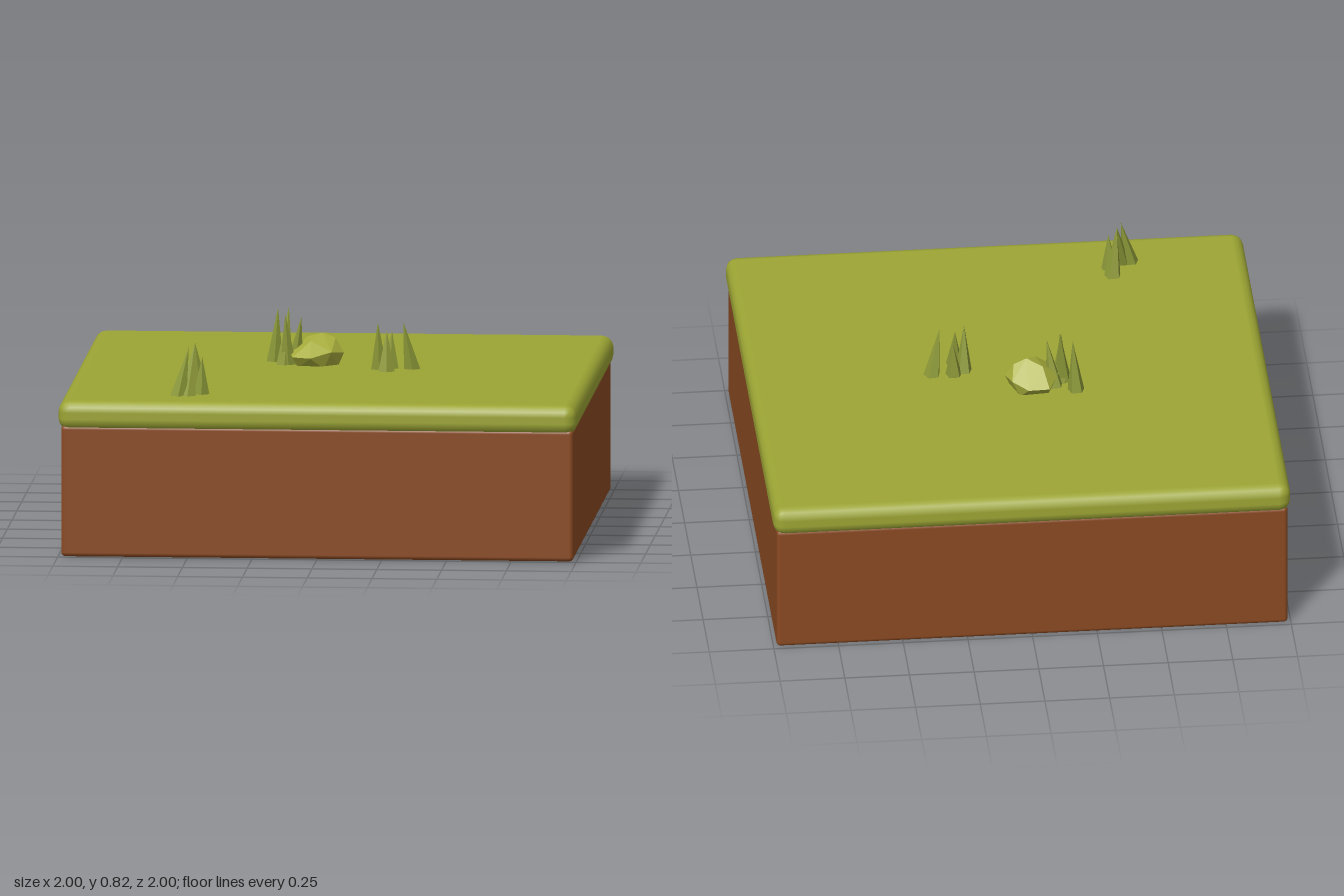
import * as THREE from 'three';
import { RoundedBoxGeometry } from 'three/addons/geometries/RoundedBoxGeometry.js';
import { ConvexGeometry } from 'three/addons/geometries/ConvexGeometry.js';

const GROUND = 0.605;

function mesh(name, geometry, material) {
  const m = new THREE.Mesh(geometry, material);
  m.name = name;
  return m;
}

// A five-sided spike from (x, z) on the ground, sheared so its tip lands at (tx, ty, tz)
function blade([x, z, tx, ty, tz], index, material) {
  const base = GROUND - 0.01, h = ty - base;
  const geo = new THREE.ConeGeometry(0.035, h, 5, 1, false, index * 1.3);
  geo.translate(0, h / 2, 0);
  const p = geo.attributes.position;
  for (let i = 0; i < p.count; i++) {
    const t = p.getY(i) / h;
    p.setX(i, p.getX(i) + (tx - x) * t);
    p.setZ(i, p.getZ(i) + (tz - z) * t);
  }
  geo.computeVertexNormals();
  const m = mesh('grassBlade', geo, material);
  m.position.set(x, base, z);
  return m;
}

export function createModel() {
  const group = new THREE.Group();
  group.name = 'grassTile';
  const soilMat = new THREE.MeshStandardMaterial({ color: 0x8b4a22 });
  const turfMat = new THREE.MeshStandardMaterial({ color: 0x9ca534 });
  const bladeMat = new THREE.MeshStandardMaterial({ color: 0x8c9838, flatShading: true });
  const rockMat = new THREE.MeshStandardMaterial({ color: 0xa8ae3c, flatShading: true });

  // Soil block
  const soil = mesh('soil', new RoundedBoxGeometry(1.976, 0.51, 1.976, 2, 0.016), soilMat);
  soil.position.y = 0.255;
  group.add(soil);

  // Turf slab with softened edges
  const turf = mesh('turf', new RoundedBoxGeometry(2, 0.115, 2, 2, 0.045), turfMat);
  turf.position.y = GROUND - 0.0575;
  group.add(turf);

  // Grass tufts: base x, base z, tip x, tip y, tip z
  const tufts = {
    frontGrassTuft: [
      [-0.55, 0.80, -0.51, 0.79, 0.78],
      [-0.515, 0.80, -0.49, 0.80, 0.73],
      [-0.47, 0.695, -0.49, 0.80, 0.725],
      [-0.465, 0.75, -0.46, 0.75, 0.76],
    ],
    rockGrassTuft: [
      [-0.248, -0.168, -0.235, 0.815, -0.155],
      [-0.205, -0.08, -0.19, 0.825, -0.11],
      [-0.19, -0.09, -0.20, 0.80, -0.06],
      [-0.17, -0.125, -0.14, 0.79, -0.09],
    ],
    sideGrassTuft: [
      [0.17, 0.02, 0.165, 0.79, 0.05],
      [0.21, -0.005, 0.215, 0.75, -0.015],
      [0.20, 0.08, 0.20, 0.76, 0.055],
      [0.295, 0.0, 0.262, 0.79, 0.03],
    ],
  };
  for (const [name, blades] of Object.entries(tufts)) {
    const tuft = new THREE.Group();
    tuft.name = name;
    blades.forEach((b, i) => tuft.add(blade(b, i, bladeMat)));
    group.add(tuft);
  }

  // Faceted rock: hull of a foot ring, a wide middle ring and a small crown
  const rockPoints = [
    [-0.14, 0.595, -0.17], [-0.03, 0.595, -0.18], [0, 0.595, -0.09], [-0.05, 0.595, -0.04], [-0.15, 0.595, -0.05],
    [-0.14, 0.645, -0.225], [-0.06, 0.64, -0.22], [0.0, 0.66, -0.18], [0.023, 0.65, -0.105],
    [-0.02, 0.66, -0.035], [-0.10, 0.64, 0.008], [-0.17, 0.64, -0.025], [-0.187, 0.65, -0.11],
    [-0.12, 0.705, -0.15], [-0.06, 0.725, -0.115], [-0.01, 0.705, -0.12], [-0.10, 0.70, -0.06],
  ].map((p) => new THREE.Vector3(...p));
  group.add(mesh('rock', new ConvexGeometry(rockPoints), rockMat));

  return group;
}
